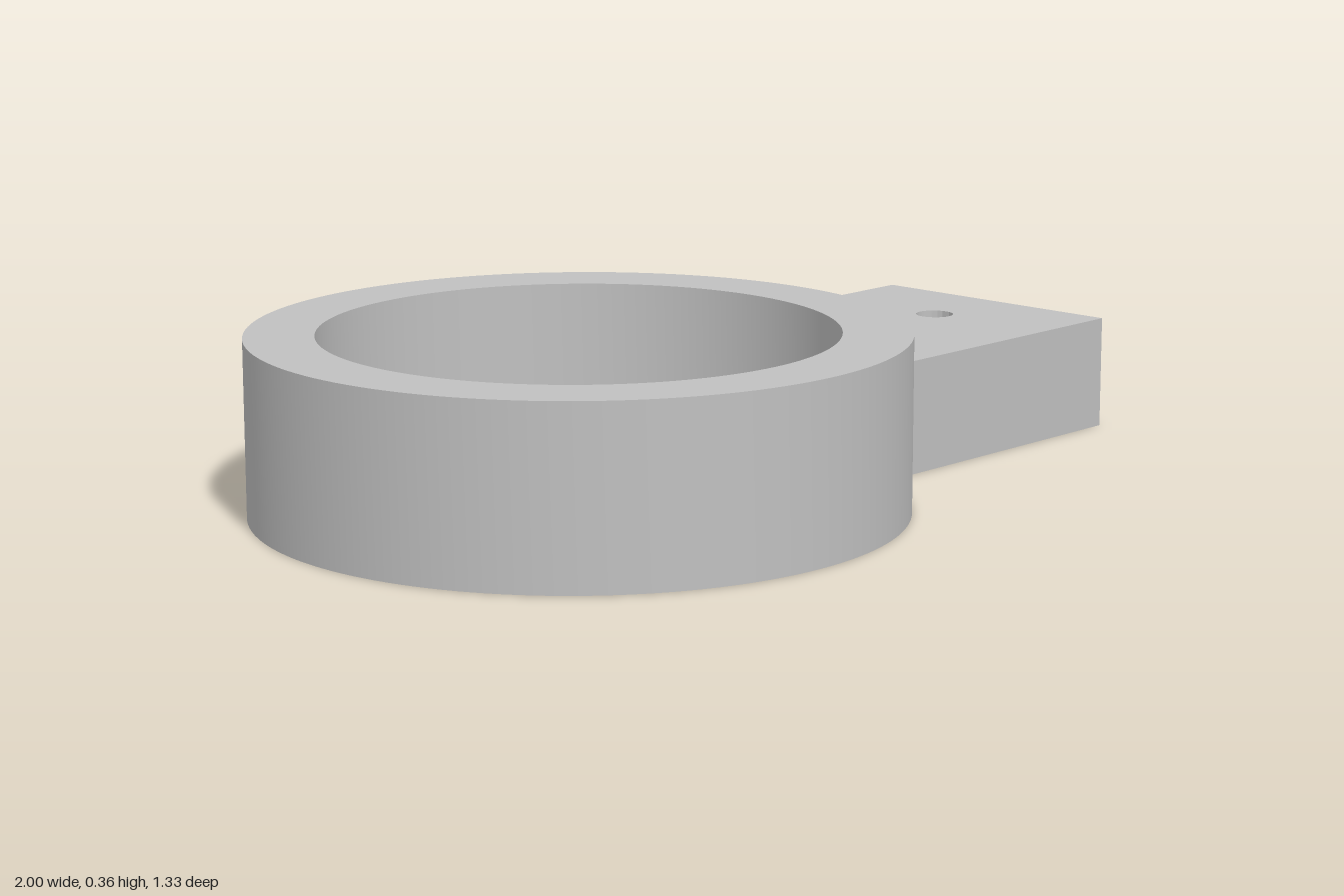
import * as THREE from 'three';
import { toCreasedNormals } from 'three/addons/utils/BufferGeometryUtils.js';

const CX = -0.333, R_OUT = 0.667, R_IN = 0.525;   // ring centre and radii
const RING_H = 0.364, TAB_H = 0.243;
const TAB_X = 0.272, TAB_Z = 0.303;               // tab inner end and half width

// Circular cut-out
function hole(x, r) {
  return new THREE.Path().absarc(x, 0, r, 0, Math.PI * 2, true);
}

// Extrude a plan outline upward from the ground, smooth on curves, sharp at edges
function plate(name, shape, height, material) {
  const raw = new THREE.ExtrudeGeometry(shape, { depth: height, bevelEnabled: false, curveSegments: 72 });
  raw.rotateX(-Math.PI / 2);
  const mesh = new THREE.Mesh(toCreasedNormals(raw, 0.5), material);
  mesh.name = name;
  return mesh;
}

export function createModel() {
  const group = new THREE.Group();
  group.name = 'ringBracket';
  const grey = new THREE.MeshStandardMaterial({ color: 0xc0c0c0 });
  grey.name = 'plainGrey';

  // Tall ring
  const ring = new THREE.Shape().absarc(CX, 0, R_OUT, 0, Math.PI * 2, false);
  ring.holes.push(hole(CX, R_IN));
  group.add(plate('ring', ring, RING_H, grey));

  // Mounting tab, its inner end following the ring wall, with two screw holes
  const a = Math.acos((TAB_X - CX) / R_OUT);
  const tab = new THREE.Shape();
  tab.moveTo(TAB_X, -TAB_Z);
  tab.lineTo(1, -TAB_Z);
  tab.lineTo(1, TAB_Z);
  tab.lineTo(TAB_X, TAB_Z);
  tab.absarc(CX, 0, R_OUT, a, -a, true);
  tab.closePath();
  tab.holes.push(hole(0.482, 0.055), hole(0.785, 0.041));
  group.add(plate('mountingTab', tab, TAB_H, grey));

  return group;
}
